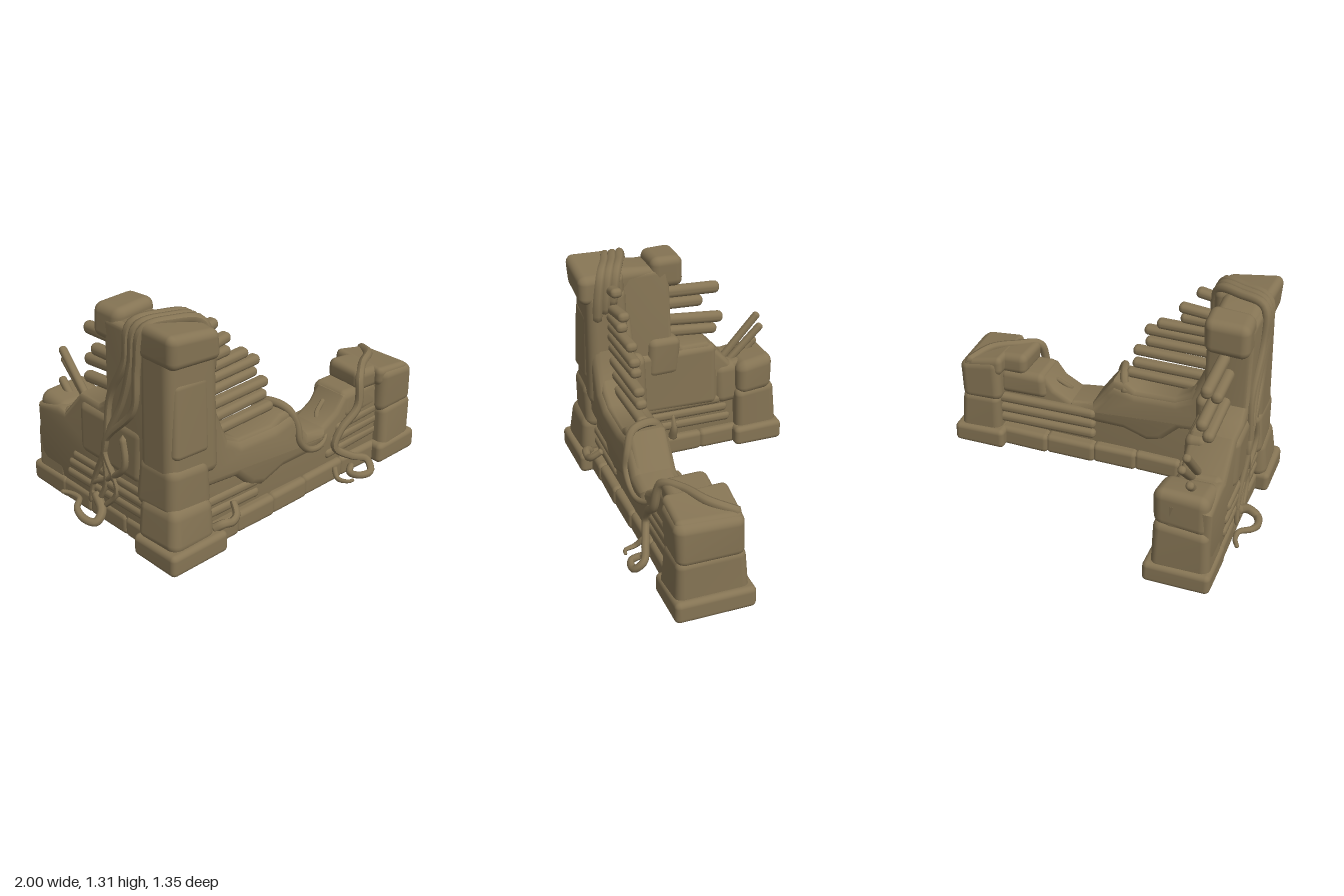
import * as THREE from 'three';
import { mergeVertices, toCreasedNormals } from 'three/addons/utils/BufferGeometryUtils.js';
import { RoundedBoxGeometry } from 'three/addons/geometries/RoundedBoxGeometry.js';

export function createModel() {
  const group = new THREE.Group();
  const clay = new THREE.MeshStandardMaterial({ color: 0x857454 });
  clay.name = 'clay brown';

  const add = (name, geometry) => {
    const mesh = new THREE.Mesh(geometry, clay);
    mesh.name = name;
    group.add(mesh);
    return mesh;
  };

  // Gentle hand-worn wobble that is continuous in space
  const wobble = (p, amount) => {
    const { x, y, z } = p;
    p.x += amount * Math.sin(9 * y + 7 * z + 1);
    p.z += amount * Math.sin(8 * x + 9 * y + 2);
    if (y > 0.03) p.y += amount * Math.sin(10 * x + 8 * z);
  };

  // Worn block given by its x, y and z ranges; its top can narrow and slope
  function stone(name, [x0, x1], [y0, y1], [z0, z1], { taper = 1, slopeX = 0, slopeZ = 0, r = 0.045, amount = 0.007 } = {}) {
    const w = x1 - x0, h = y1 - y0, d = z1 - z0;
    let g = new RoundedBoxGeometry(w, h, d, 4, Math.min(r, w / 3, h / 3, d / 3));
    g.deleteAttribute('normal');
    g.deleteAttribute('uv');
    g.clearGroups();
    g = mergeVertices(g, 1e-4);
    const pos = g.attributes.position, p = new THREE.Vector3();
    for (let i = 0; i < pos.count; i++) {
      p.fromBufferAttribute(pos, i);
      const t = p.y / h + 0.5, s = 1 + (taper - 1) * t;
      p.y += t * (slopeX * p.x + slopeZ * p.z);
      p.x = p.x * s + (x0 + x1) / 2;
      p.z = p.z * s + (z0 + z1) / 2;
      p.y += (y0 + y1) / 2;
      wobble(p, amount);
      pos.setXYZ(i, p.x, p.y, p.z);
    }
    g.computeVertexNormals();
    return add(name, g);
  }

  // Broken wall sheet: an outline extruded with a soft bevel
  function sheet(name, points, depth, bevel = 0.03) {
    const shape = new THREE.Shape(points.map(([a, b]) => new THREE.Vector2(a, b)));
    const g = new THREE.ExtrudeGeometry(shape, {
      depth: depth - 2 * bevel, bevelEnabled: true, bevelThickness: bevel,
      bevelSize: bevel, bevelOffset: -bevel, bevelSegments: 3,
    });
    g.translate(0, 0, bevel);
    return add(name, toCreasedNormals(g, 0.7));
  }

  // Lath between two points
  function lath(name, from, to, thick, wide = thick) {
    const a = new THREE.Vector3(...from), b = new THREE.Vector3(...to);
    const m = add(name, new RoundedBoxGeometry(wide, thick, a.distanceTo(b), 3, thick * 0.45));
    m.position.copy(a).add(b).multiplyScalar(0.5);
    m.lookAt(b);
  }

  // Root following a curve and tapering to its tip
  function vine(name, points, radius, tip = 0.5) {
    const curve = new THREE.CatmullRomCurve3(points.map((p) => new THREE.Vector3(...p)));
    const seg = points.length * 7, sides = 8;
    const g = new THREE.TubeGeometry(curve, seg, radius, sides);
    const pos = g.attributes.position, p = new THREE.Vector3();
    for (let i = 0; i <= seg; i++) {
      const t = i / seg, c = curve.getPointAt(t);
      const s = i === 0 || i === seg ? 0.05 : 1 + (tip - 1) * t;
      for (let j = 0; j <= sides; j++) {
        const k = i * (sides + 1) + j;
        p.fromBufferAttribute(pos, k).sub(c).multiplyScalar(s).add(c);
        pos.setXYZ(k, p.x, p.y, p.z);
      }
    }
    g.computeVertexNormals();
    add(name, g);
  }

  // Foundation stones
  const footing = { r: 0.03, amount: 0.002 };
  stone('cornerFooting', [-0.935, -0.55], [0, 0.125], [0.3, 0.625], footing);
  stone('rightFooting', [0.68, 1.0], [0, 0.125], [0.14, 0.585], footing);
  stone('backFooting', [-0.87, -0.495], [0, 0.125], [-0.67, -0.36], footing);
  const frontJoints = [-0.6, -0.41, -0.14, 0.12, 0.42, 0.72];
  for (let i = 0; i < 5; i++)
    stone('frontFooting', [frontJoints[i] - 0.008, frontJoints[i + 1] + 0.008], [0, 0.125], [0.242 - i * 0.011, 0.555 - i * 0.007], footing);
  const sideJoints = [-0.4, -0.15, 0.15, 0.34];
  for (let i = 0; i < 3; i++)
    stone('sideFooting', [-0.865, -0.555], [0, 0.125], [sideJoints[i] - 0.008, sideJoints[i + 1] + 0.008], footing);

  // Front wall: recessed core with a plaster coat above
  sheet('frontWall', [[-0.62, 0.08], [0.74, 0.08], [0.74, 0.5], [0.45, 0.5], [0.39, 0.42], [0.28, 0.36], [0.15, 0.38],
    [0.07, 0.5], [0.02, 0.57], [-0.06, 0.57], [-0.12, 0.53], [-0.36, 0.54], [-0.45, 0.6], [-0.54, 0.76], [-0.62, 0.8]], 0.225)
    .position.z = 0.275;
  sheet('frontPlaster', [[-0.7, 0.36], [-0.4, 0.33], [-0.3, 0.23], [-0.2, 0.2], [-0.05, 0.25], [0.2, 0.25], [0.3, 0.3], [0.29, 0.36],
    [0.15, 0.38], [0.07, 0.49], [0.02, 0.55], [-0.12, 0.52], [-0.36, 0.53], [-0.45, 0.58], [-0.52, 0.76], [-0.58, 1.0], [-0.7, 1.0]], 0.265, 0.05)
    .position.z = 0.26;
  stone('wallStep', [0.43, 0.74], [0.35, 0.51], [0.245, 0.51], { taper: 0.93 });
  for (let i = 0; i < 3; i++) {
    const y = 0.18 + i * 0.07;
    lath('frontLowerLath', [0.3 + 0.04 * i, y, 0.485], [0.74, y + 0.01, 0.475], 0.06);
    lath('backLowerLath', [0.12, y, 0.27], [0.74, y, 0.25], 0.06);
    if (i < 2) lath('cornerLowerLath', [-0.66, y, 0.485], [-0.22, y - 0.01, 0.485], 0.06);
  }

  // Right pillar with a slab that reaches over the wall
  stone('rightPillarBase', [0.715, 0.97], [0.08, 0.35], [0.17, 0.575], { taper: 0.95 });
  stone('rightPillarTop', [0.705, 0.965], [0.31, 0.575], [0.18, 0.56], { slopeX: -0.15, r: 0.05 });
  stone('rightPillarCap', [0.69, 0.94], [0.49, 0.59], [0.19, 0.545], { slopeX: -0.18, r: 0.035 });
  stone('rightPillarSlab', [0.555, 0.76], [0.48, 0.61], [0.26, 0.51], { slopeX: -0.05 });

  // Side wall with its stepped, broken end
  const side = sheet('sideWall', [[-0.5, 0.08], [0.62, 0.08], [0.62, 0.5], [0.43, 0.55], [0.37, 0.54], [0.22, 0.71],
    [0.06, 0.71], [-0.01, 0.76], [-0.02, 1.23], [-0.5, 1.23]], 0.255);
  side.rotation.y = Math.PI / 2;
  side.position.x = -0.85;
  stone('innerPlaster', [-0.7, -0.575], [0.3, 0.7], [-0.27, 0.32], { r: 0.06 });
  stone('innerPlasterStone', [-0.7, -0.57], [0.54, 0.79], [-0.03, 0.17], { r: 0.05 });
  stone('innerCorner', [-0.7, -0.53], [0.25, 0.72], [0.18, 0.4], { taper: 0.85, r: 0.07 });
  stone('outerPlaster', [-0.865, -0.7], [0.36, 0.69], [-0.22, 0.3], { r: 0.06 });
  for (const [y, z] of [[0.18, -0.36], [0.25, -0.34], [0.31, -0.3]])
    for (const x of [-0.61, -0.835]) lath('sideLowerLath', [x, y, z], [x, y + 0.01, 0.32], 0.06);

  // Corner tower
  stone('towerBase', [-0.91, -0.6], [0.09, 0.34], [0.29, 0.6], { taper: 0.88, r: 0.06 });
  stone('towerFoot', [-0.885, -0.6], [0.27, 0.56], [0.26, 0.562], { taper: 0.92, r: 0.06 });
  stone('towerShaft', [-0.872, -0.53], [0.45, 1.18], [0.28, 0.538], { taper: 0.92, r: 0.06 });
  stone('towerFacing', [-0.84, -0.6], [0.6, 1.02], [0.44, 0.545], { taper: 0.92, r: 0.06 });
  stone('towerCap', [-0.872, -0.55], [1.1, 1.28], [0.3, 0.567], { r: 0.045, slopeX: -0.1 });
  stone('towerTop', [-0.84, -0.6], [1.1, 1.25], [0.08, 0.36], { r: 0.05, slopeZ: 0.1 });
  stone('towerEndStone', [-0.845, -0.592], [1.1, 1.295], [-0.075, 0.125], { r: 0.05 });

  // Back pillar
  stone('backPillarBase', [-0.85, -0.525], [0.08, 0.38], [-0.645, -0.375], { taper: 0.95 });
  stone('backPillarTop', [-0.84, -0.53], [0.34, 0.565], [-0.625, -0.395], { slopeZ: -0.15, r: 0.055 });
  stone('backPillarShoulder', [-0.845, -0.58], [0.28, 0.55], [-0.42, -0.26], { r: 0.06 });

  // Exposed laths reaching from the tower along the front wall
  const frontEnds = [[1.2, -0.43], [1.09, -0.335], [1.02, -0.345], [0.96, -0.21], [0.9, -0.135], [0.83, -0.145], [0.75, -0.07], [0.67, -0.07], [0.59, -0.03]];
  frontEnds.forEach(([y, x], i) => lath('frontLath', [-0.65, y - 0.01 - (i < 2 ? 0.03 : 0), 0.395], [x, y, 0.39 - 0.01 * (i % 2)], 0.056, 0.068));

  // Exposed laths reaching back from the tower, and loose ones on the back pillar
  for (const [y0, y1, z, x, t] of [[1.04, 1.02, -0.325, -0.7, 0.075], [0.95, 0.935, -0.23, -0.73, 0.07], [0.865, 0.825, -0.345, -0.69, 0.07], [0.775, 0.74, -0.315, -0.72, 0.065]])
    lath('sideLath', [x, y0, 0.06], [x, y1, z], t, 0.065);
  for (const [z0, z1, y1, x] of [[-0.31, -0.58, 0.805, -0.69], [-0.36, -0.595, 0.735, -0.67], [-0.46, -0.57, 0.63, -0.71]])
    lath('looseLath', [x, 0.51, z0], [x, y1, z1], 0.045);

  // Roots over the tower top and winding down its outer face
  for (let i = 0; i < 3; i++) {
    const o = i * 0.045, sway = (i - 1) * 0.05;
    vine('towerRoot', [[-0.55, 0.98 + o, 0.48 - o], [-0.54, 1.14, 0.47 - o], [-0.57, 1.265, 0.44 - o], [-0.7, 1.285, 0.38 - o], [-0.845, 1.265, 0.33 - o],
      [-0.86, 1.05, 0.29 - o], [-0.855, 0.8, 0.2 - o - sway], [-0.87, 0.5, 0.06 - o + sway], [-0.86, 0.25, 0.04 - o - sway], [-0.87, 0.08, -0.05 - o]], 0.03);
  }
  vine('crossRoot', [[-0.862, 0.62, 0.16], [-0.87, 0.45, 0.18], [-0.86, 0.3, 0.02], [-0.865, 0.2, -0.12], [-0.87, 0.08, -0.08]], 0.022);
  vine('groundTendril', [[-0.86, 0.16, -0.1], [-0.9, 0.1, 0.0], [-0.95, 0.06, 0.01], [-0.975, 0.06, -0.06], [-0.96, 0.08, -0.14], [-0.9, 0.09, -0.2], [-0.9, 0.09, -0.27], [-0.93, 0.09, -0.33]], 0.03, 0.4);
  vine('innerTendril', [[-0.57, 0.12, 0.03], [-0.54, 0.2, 0.03], [-0.56, 0.28, 0.03]], 0.03, 0.3);

  // Roots over the broken front wall
  vine('frontRoot', [[-0.06, 0.5, 0.28], [-0.03, 0.585, 0.34], [0.01, 0.58, 0.47], [0.05, 0.48, 0.515], [0.06, 0.38, 0.53], [0.13, 0.3, 0.53], [0.24, 0.28, 0.52], [0.33, 0.32, 0.47], [0.33, 0.38, 0.4], [0.42, 0.45, 0.37]], 0.027);
  vine('pillarRoot', [[0.92, 0.55, 0.2], [0.82, 0.59, 0.34], [0.68, 0.6, 0.42], [0.57, 0.58, 0.5], [0.53, 0.42, 0.53], [0.4, 0.31, 0.52], [0.36, 0.22, 0.52],
    [0.46, 0.14, 0.56], [0.55, 0.1, 0.6], [0.53, 0.05, 0.65], [0.45, 0.05, 0.64], [0.43, 0.05, 0.58], [0.48, 0.08, 0.55]], 0.028, 0.7);
  vine('smallTendril', [[0.35, 0.1, 0.53], [0.33, 0.05, 0.58], [0.35, 0.05, 0.64], [0.39, 0.05, 0.65]], 0.018);
  vine('cornerTendril', [[-0.6, 0.12, 0.55], [-0.56, 0.15, 0.585], [-0.5, 0.14, 0.59], [-0.46, 0.16, 0.58], [-0.43, 0.21, 0.52]], 0.027, 0.7);
  return group;
}
